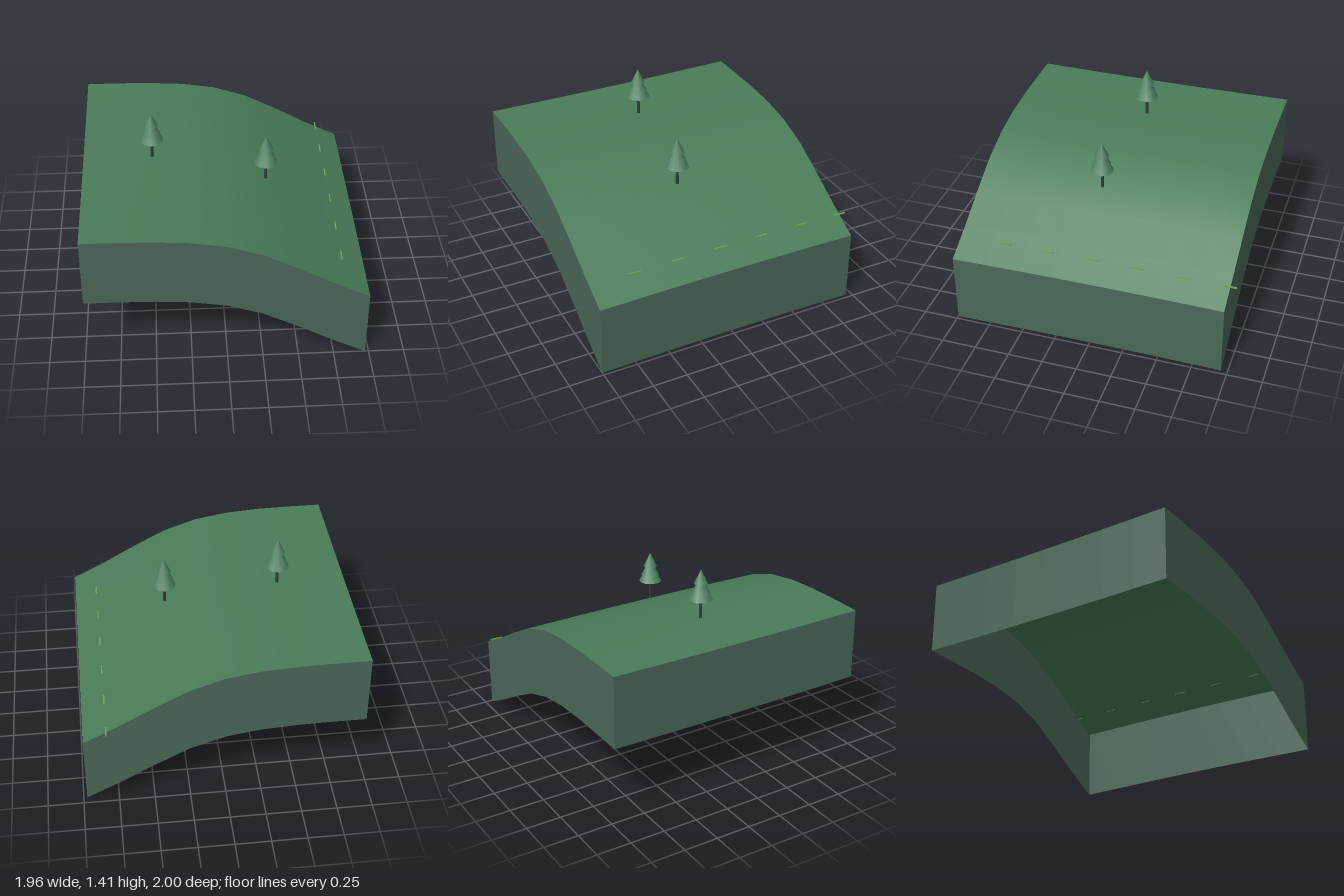
import * as THREE from 'three';

const X0 = -0.98, X1 = 0.975, Z0 = -0.955, Z1 = 1.0, DEPTH = 0.52, SEG = 8;
const profile = [1.07, 1.07, 1.065, 1.048, 1.006, 0.922, 0.793, 0.652, 0.525];

const material = (name, color, side = THREE.FrontSide) => {
  const m = new THREE.MeshStandardMaterial({ color, side });
  m.name = name;
  return m;
};

// Height of the hillside: a profile across x with a slight swell along z
function height(x, z) {
  const t = THREE.MathUtils.clamp((x - X0) / (X1 - X0), 0, 1) * SEG;
  const i = Math.min(Math.floor(t), SEG - 1);
  const base = THREE.MathUtils.lerp(profile[i], profile[i + 1], t - i);
  const v = (Z1 - z) / (Z1 - Z0);
  const slope = THREE.MathUtils.smoothstep(x, -0.5, 0.3);
  return base + slope * (0.009 * Math.sin(Math.PI * v) + 0.005 * v) - (1 - slope) * 0.007 * Math.sin(Math.PI * v);
}

// Grass sheet draped over the hill
function makeGround() {
  const geo = new THREE.PlaneGeometry(X1 - X0, Z1 - Z0, SEG, SEG);
  geo.rotateX(-Math.PI / 2);
  geo.translate((X0 + X1) / 2, 0, (Z0 + Z1) / 2);
  const p = geo.attributes.position;
  for (let i = 0; i < p.count; i++) p.setY(i, height(p.getX(i), p.getZ(i)));
  geo.computeVertexNormals();
  return geo;
}

// Wall hanging from the edge that runs from a to b (outside on the right-hand side of b - a)
function makeWall([ax, az], [bx, bz]) {
  const pos = [], index = [];
  for (let i = 0; i <= SEG; i++) {
    const x = THREE.MathUtils.lerp(ax, bx, i / SEG), z = THREE.MathUtils.lerp(az, bz, i / SEG);
    const y = height(x, z);
    pos.push(x, y, z, x, y - DEPTH, z);
    if (i < SEG) {
      const k = i * 2;
      index.push(k, k + 1, k + 2, k + 1, k + 3, k + 2);
    }
  }
  const geo = new THREE.BufferGeometry();
  geo.setAttribute('position', new THREE.Float32BufferAttribute(pos, 3));
  geo.setIndex(index);
  geo.computeVertexNormals();
  return geo;
}

export function createModel() {
  const grass = material('grass', 0x4a7c59, THREE.DoubleSide);
  const earth = material('earth', 0x4a6858, THREE.DoubleSide);
  const foliage = material('foliage', 0x4f8262);
  const bark = material('bark', 0x2d4235);
  const dashGreen = material('dashGreen', 0x6fa85a);

  const model = new THREE.Group();
  model.name = 'hillside';
  const add = (parent, name, geo, mat, x = 0, y = 0, z = 0) => {
    const mesh = new THREE.Mesh(geo, mat);
    mesh.name = name;
    mesh.position.set(x, y, z);
    parent.add(mesh);
    return mesh;
  };

  add(model, 'ground', makeGround(), grass);

  // Four walls, open underneath
  const corners = [[X0, Z1], [X1, Z1], [X1, Z0], [X0, Z0]];
  ['frontWall', 'leftWall', 'backWall', 'rightWall'].forEach((name, i) =>
    add(model, name, makeWall(corners[i], corners[(i + 1) % 4]), earth));

  // Pine trees: thin trunk and three stacked cones [base, radius, height]
  const tiers = [[0.14, 0.083, 0.14], [0.187, 0.066, 0.125], [0.255, 0.05, 0.105]];
  [[-0.49, 1.06, 0.02], [0.32, 0.898, 0.105]].forEach(([x, y, z], n) => {
    const tree = new THREE.Group();
    tree.name = `tree${n + 1}`;
    tree.position.set(x, y, z);
    add(tree, 'trunk', new THREE.CylinderGeometry(0.01, 0.012, 0.15, 8), bark, 0, 0.075, 0);
    tiers.forEach(([base, r, h], i) =>
      add(tree, `branches${i + 1}`, new THREE.ConeGeometry(r, h, 10), foliage, 0, base + h / 2, 0));
    model.add(tree);
  });

  // Dashed line along the lower slope
  for (let i = 0; i < 6; i++) {
    const z = 0.67 - i * 0.325;
    const dash = add(model, `dash${i + 1}`, new THREE.BoxGeometry(0.009, 0.01, 0.09), dashGreen,
      0.813, height(0.813, z) + 0.005, z);
    dash.rotation.y = -0.03;
  }
  return model;
}
